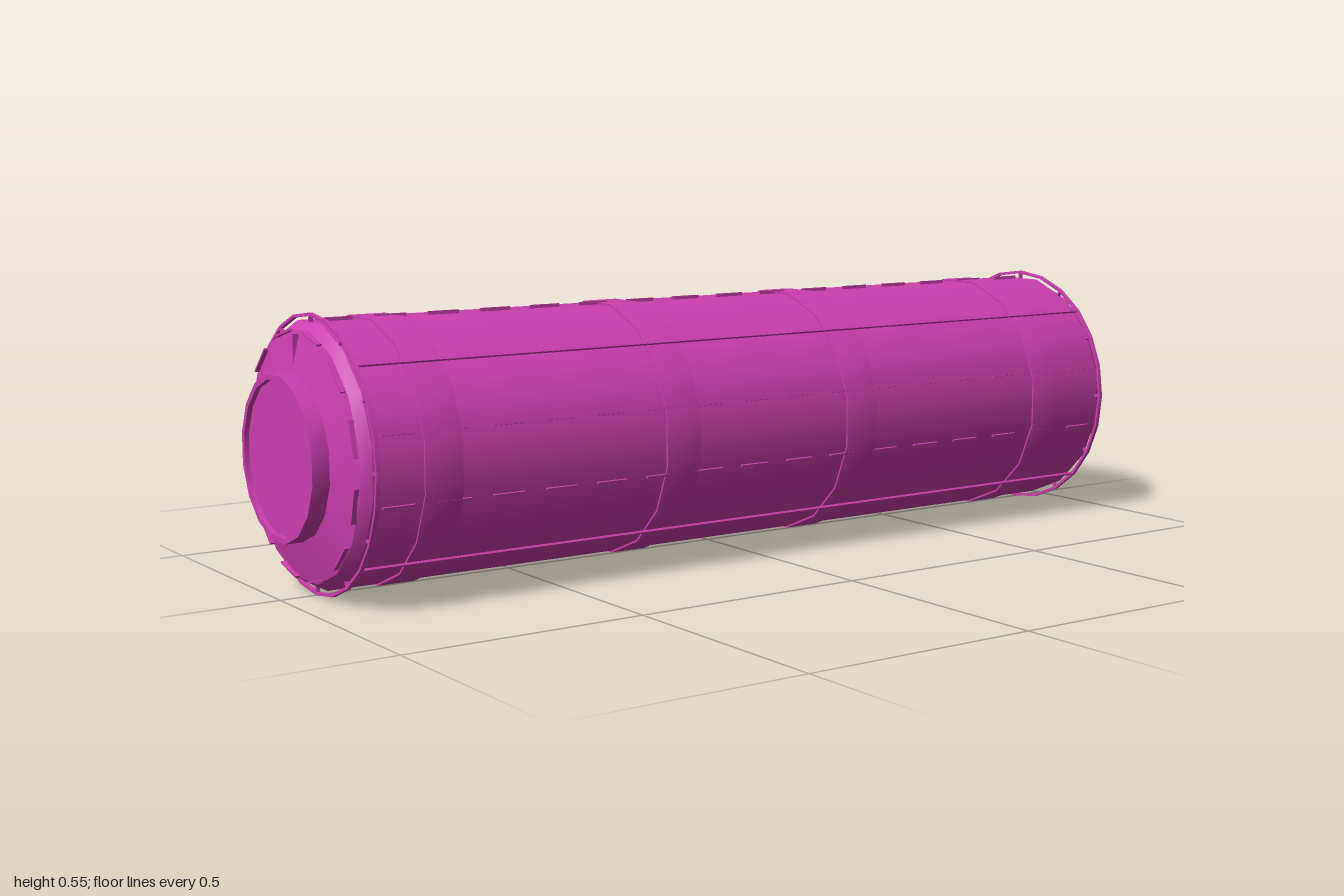
import * as THREE from 'three';
import { toCreasedNormals } from 'three/addons/utils/BufferGeometryUtils.js';

const CY = 0.2775; // height of the long axis

export function createModel() {
  const model = new THREE.Group();
  const core = new THREE.Group();
  core.name = 'canister';
  core.position.y = CY;
  model.add(core);
  const mat = new THREE.MeshStandardMaterial({ color: 0xcc3fae });

  const add = (name, geo, parent = core) => {
    const mesh = new THREE.Mesh(geo, mat);
    mesh.name = name;
    parent.add(mesh);
    return mesh;
  };

  // Solid of revolution about x from [x, radius] pairs, running from -x to +x
  const turned = (name, pairs, sides, phase) => {
    const pts = pairs.map(([x, r]) => new THREE.Vector2(r, x));
    const geo = new THREE.LatheGeometry(pts, sides, phase).rotateZ(-Math.PI / 2);
    return add(name, toCreasedNormals(geo, 0.45));
  };

  // Box at an angle (degrees from the top) round the axis: size is along x, radial, tangential
  const around = (name, deg, x, r, size) => {
    const pivot = new THREE.Group();
    pivot.name = name;
    pivot.rotation.x = THREE.MathUtils.degToRad(deg);
    core.add(pivot);
    add(name, new THREE.BoxGeometry(...size), pivot).position.set(x, r, 0);
  };

  // Sixteen-sided body with bevelled ends and dished end plugs
  const half = [[0.925, 0.261], [0.945, 0.247], [0.965, 0.163], [1, 0.163], [1, 0.152], [0.99, 0.152], [0.99, 0]];
  const mirrored = half.map(([x, r]) => [-x, r]).reverse();
  turned('body', [...mirrored, ...half], 16, Math.PI / 16);

  // Raised bands
  for (const x of [-0.78, -0.24, 0.22, 0.76]) {
    turned('band', [[x - 0.04, 0.25], [x - 0.04, 0.265], [x + 0.04, 0.265], [x + 0.04, 0.25]], 16, Math.PI / 16);
  }

  for (const s of [-1, 1]) {
    // Thin end hoop held off the body by spokes
    const x = s * 0.922, w = 0.004;
    turned('hoop', [[x - w, 0.268], [x - w, 0.274], [x + w, 0.274], [x + w, 0.268], [x - w, 0.268]], 24, 0);
    for (let i = 0; i < 12; i++) {
      around('spoke', i * 30, x, 0.26, [0.008, 0.024, 0.005]);
      // Tangential ribs on the end cone
      around('endRib', i * 30 + 15, s * 0.944, 0.239, [0.022, 0.004, 0.07]);
    }
    // Single radial mark above each plug
    around('endMark', 0, s * 0.954, 0.2, [0.012, 0.07, 0.003]);
  }

  // Long wires joining the hoops
  for (const deg of [45, 135, 225, 315]) around('wire', deg, 0, 0.271, [1.844, 0.005, 0.005]);

  // Broken rows of low fins along the body
  for (const deg of [0, 75, 105, 180, 255, 285]) {
    for (let i = 0; i < 16; i++) {
      around('fin', deg, -0.87 + i * 0.116, 0.257, [0.068, 0.012, 0.004]);
    }
  }
  return model;
}
